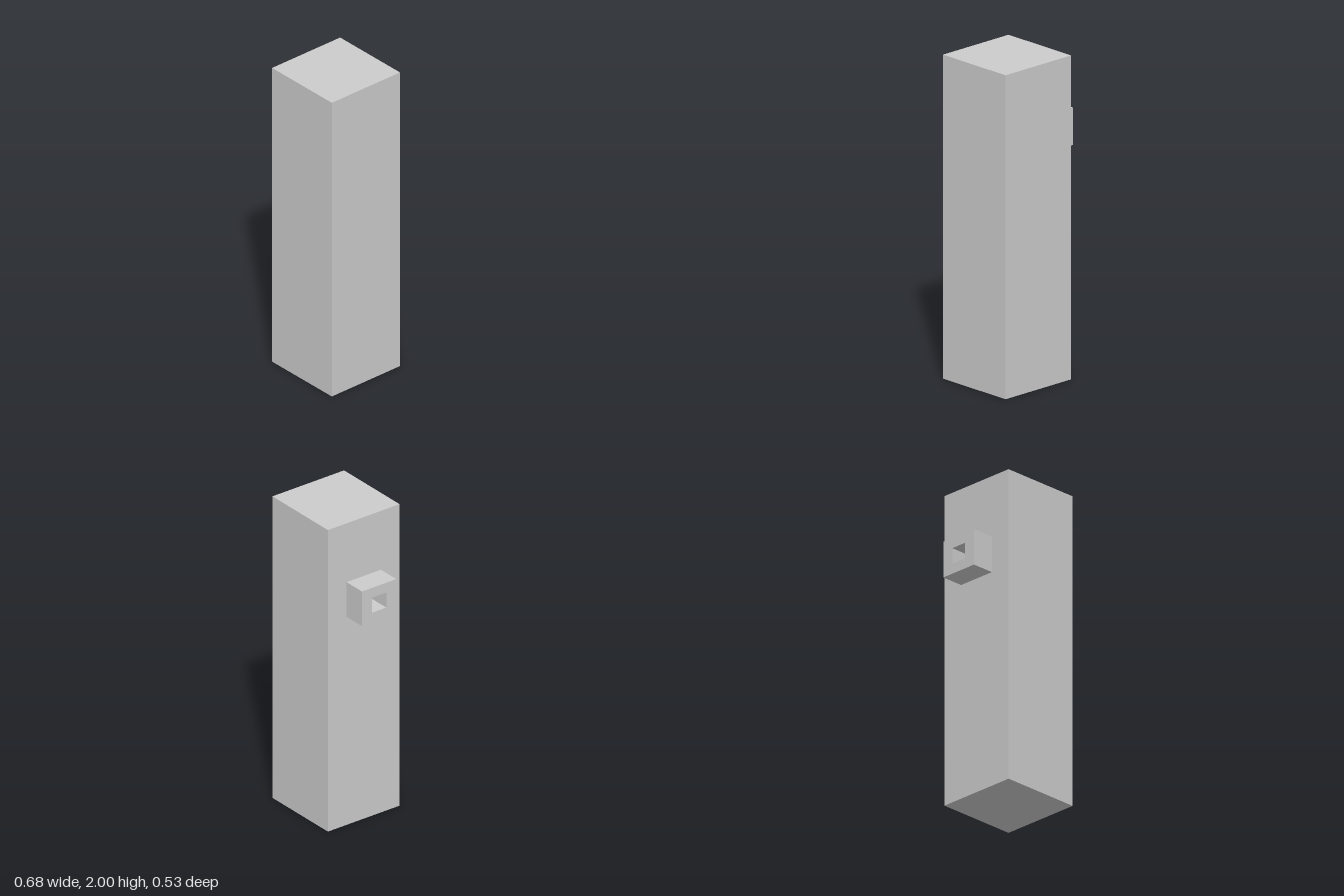
import * as THREE from 'three';

const material = new THREE.MeshStandardMaterial({ color: 0xcccccc, flatShading: true });

// Traces a centred rectangle on a Shape or Path
function rectangle(path, width, height) {
  const w = width / 2, h = height / 2;
  path.moveTo(-w, -h);
  path.lineTo(w, -h);
  path.lineTo(w, h);
  path.lineTo(-w, h);
  path.closePath();
  return path;
}

export function createModel() {
  const group = new THREE.Group();

  // Tall square pillar
  const pillar = new THREE.Mesh(new THREE.BoxGeometry(0.532, 2, 0.53), material);
  pillar.name = 'pillar';
  pillar.position.set(0.074, 1, 0);
  group.add(pillar);

  // Square socket on the right side, its opening facing -x
  const outline = rectangle(new THREE.Shape(), 0.254, 0.23);
  outline.holes.push(rectangle(new THREE.Path(), 0.106, 0.1));
  const socketGeometry = new THREE.ExtrudeGeometry(outline, { depth: 0.148, bevelEnabled: false });
  socketGeometry.rotateY(-Math.PI / 2);
  const socket = new THREE.Mesh(socketGeometry, material);
  socket.name = 'sideSocket';
  socket.position.set(-0.192, 1.495, 0);
  group.add(socket);

  return group;
}
